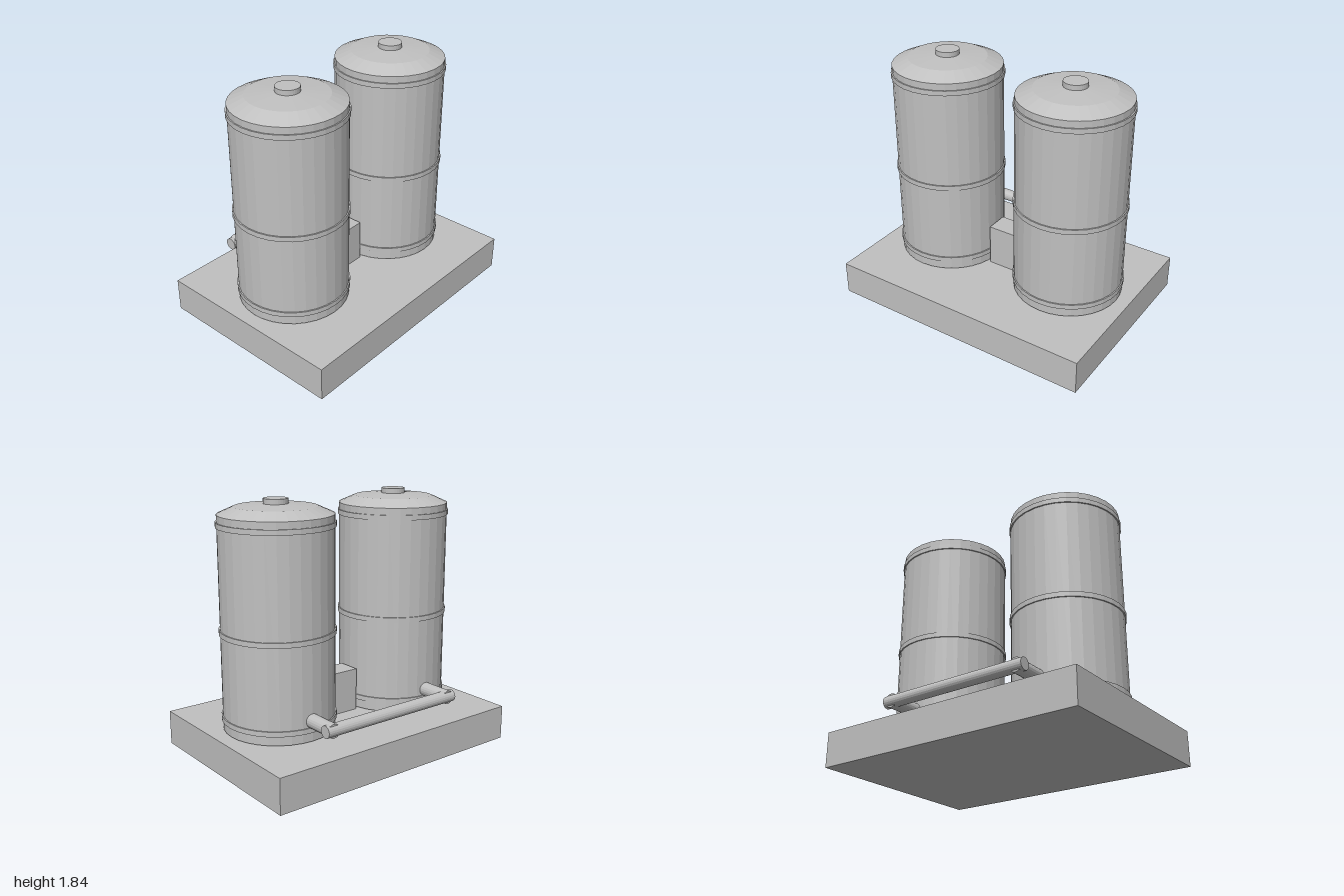
import * as THREE from 'three';

export function createModel() {
  const model = new THREE.Group();
  const grey = new THREE.MeshStandardMaterial({ color: 0xc0c0c0, flatShading: true });
  grey.name = 'light grey';

  function add(parent, name, geometry, x = 0, y = 0, z = 0) {
    const mesh = new THREE.Mesh(geometry, grey);
    mesh.name = name;
    mesh.position.set(x, y, z);
    parent.add(mesh);
    return mesh;
  }

  // Plinth and the block between the tanks
  add(model, 'base', new THREE.BoxGeometry(2, 0.25, 1.43), 0, 0.125, 0);
  add(model, 'centreBlock', new THREE.BoxGeometry(0.22, 0.31, 0.17), 0, 0.405, 0);

  // Shell and shallow domed roof in one profile
  const profile = [[0, 0.258], [0.393, 0.258], [0.393, 1.74], [0.28, 1.79], [0.08, 1.806], [0, 1.806]]
    .map(([r, y]) => new THREE.Vector2(r, y));
  const shell = new THREE.LatheGeometry(profile, 32);
  const hoop = new THREE.CylinderGeometry(0.402, 0.402, 0.036, 32);
  const cap = new THREE.CylinderGeometry(0.084, 0.084, 0.045, 32);
  const outlet = new THREE.CylinderGeometry(0.05, 0.05, 0.275, 20).rotateX(Math.PI / 2);

  for (const side of [-1, 1]) {
    const tank = new THREE.Group();
    tank.name = side > 0 ? 'leftTank' : 'rightTank';
    tank.position.x = side * 0.513;
    add(tank, 'shell', shell);
    for (const y of [0.34, 0.947, 1.674]) add(tank, 'hoop', hoop, 0, y, 0);
    add(tank, 'cap', cap, 0, 1.8185, 0);
    // Short pipe out of the back
    add(tank, 'outletPipe', outlet, 0, 0.403, -0.4885);
    model.add(tank);
  }

  // Pipe joining both outlets behind the tanks
  const link = new THREE.CylinderGeometry(0.044, 0.044, 1.136, 20).rotateZ(Math.PI / 2);
  add(model, 'linkPipe', link, 0, 0.403, -0.602);

  return model;
}
